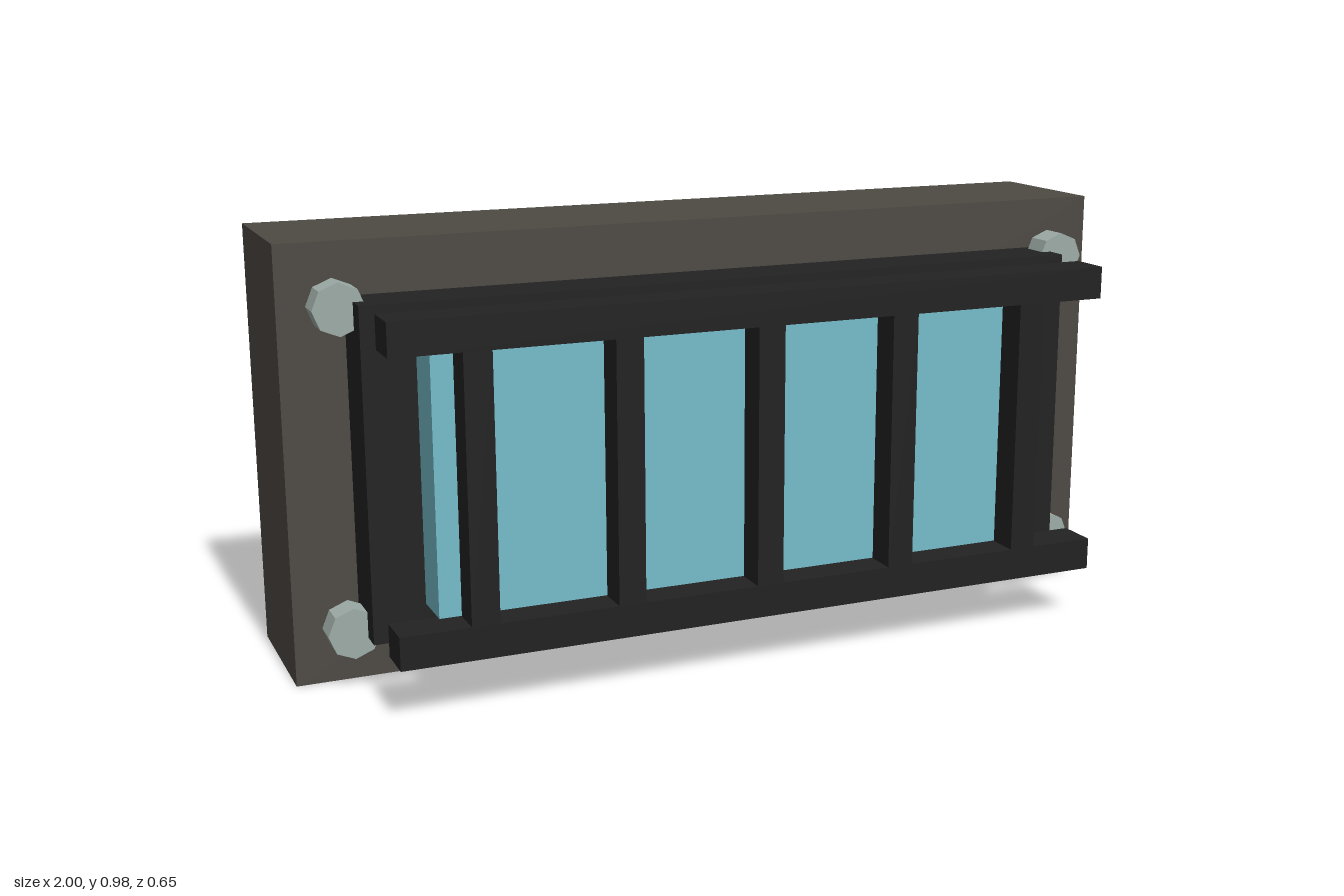
import * as THREE from 'three';

export function createModel() {
  const model = new THREE.Group();
  model.name = 'bulkheadLight';

  const mat = (name, color) => {
    const m = new THREE.MeshStandardMaterial({ color });
    m.name = name;
    return m;
  };
  const stone = mat('warm grey', 0x4e4a44);
  const iron = mat('black iron', 0x222222);
  const glass = mat('pale blue glass', 0x76bdca);
  const steel = mat('grey steel', 0x9daca7);
  steel.flatShading = true;

  const add = (name, geometry, material, x, y, z) => {
    const mesh = new THREE.Mesh(geometry, material);
    mesh.name = name;
    mesh.position.set(x, y, z);
    model.add(mesh);
    return mesh;
  };
  // Box given by its limits on each axis
  const box = (name, material, [x0, x1], [y0, y1], [z0, z1]) =>
    add(name, new THREE.BoxGeometry(x1 - x0, y1 - y0, z1 - z0), material,
      (x0 + x1) / 2, (y0 + y1) / 2, (z0 + z1) / 2);

  // Wall block, mounting plate and lamp glass
  box('wallBlock', stone, [-1, 1], [0, 0.975], [-0.327, 0.015]);
  box('mountingPlate', iron, [-0.855, 0.852], [0.12, 0.857], [0.015, 0.147]);
  box('lampGlass', glass, [-0.738, 0.735], [0.198, 0.777], [0.147, 0.253]);

  // Guard: two rails joined by five upright bars
  box('topRail', iron, [-0.843, 0.84], [0.781, 0.855], [0.235, 0.328]);
  box('bottomRail', iron, [-0.843, 0.84], [0.123, 0.197], [0.235, 0.328]);
  for (let i = -2; i <= 2; i++) {
    const x = i * 0.328 - 0.002;
    box('guardBar', iron, [x - 0.031, x + 0.031], [0.197, 0.781], [0.235, 0.328]);
  }

  // Eight-sided bolt heads at the corners
  const boltGeometry = new THREE.CylinderGeometry(0.0575, 0.0575, 0.062, 8).rotateX(Math.PI / 2);
  for (const x of [-0.884, 0.88]) {
    for (const y of [0.133, 0.843]) add('cornerBolt', boltGeometry, steel, x, y, 0.066);
  }

  return model;
}
